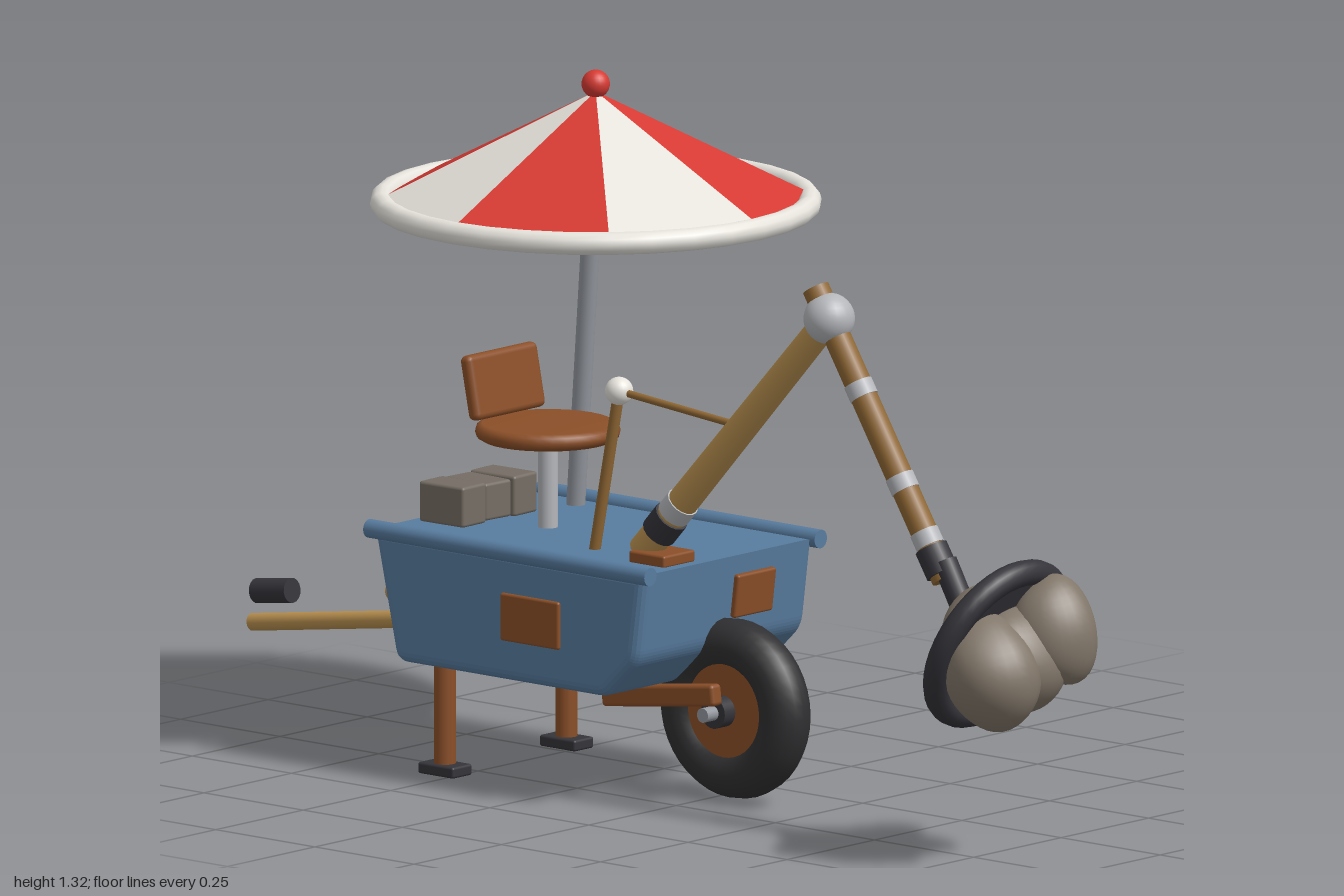
import * as THREE from 'three';
import { RoundedBoxGeometry } from 'three/addons/geometries/RoundedBoxGeometry.js';

const mat = (color, extra = {}) => new THREE.MeshStandardMaterial({ color, ...extra });
const M = {
  blue: mat(0x587c9f), brown: mat(0x8b4f28), dark: mat(0x34343a), tyre: mat(0x303032),
  wood: mat(0xba9150), stick: mat(0x8f6734), steel: mat(0x93979e), silver: mat(0xb4b6ba),
  rock: mat(0x82776a), block: mat(0x756d64), white: mat(0xe6e3dc), under: mat(0x6c6a68),
  red: mat(0xd63a33, { flatShading: true }), cloth: mat(0xe6e3dc, { flatShading: true }),
};
const V = (x, y, z) => new THREE.Vector3(x, y, z);
const UP = V(0, 1, 0);

export function createModel() {
  const model = new THREE.Group();

  const add = (name, geo, material, x = 0, y = 0, z = 0, rz = 0, parent = model) => {
    const m = new THREE.Mesh(geo, material);
    m.name = name;
    m.position.set(x, y, z);
    m.rotation.z = rz;
    parent.add(m);
    return m;
  };
  const box = (w, h, d, r = 0.005) => new RoundedBoxGeometry(w, h, d, 2, r);
  const ball = r => new THREE.SphereGeometry(r, 24, 16);
  // Round bar between two points
  const bar = (name, a, b, r, material, r2 = r) => {
    const m = add(name, new THREE.CylinderGeometry(r2, r, a.distanceTo(b), 16), material);
    m.position.copy(a).lerp(b, 0.5);
    m.quaternion.setFromUnitVectors(UP, b.clone().sub(a).normalize());
    return m;
  };
  // Sleeve around a bar, between fractions t0 and t1 of its length
  const sleeve = (name, a, b, t0, t1, r, material) =>
    bar(name, a.clone().lerp(b, t0), a.clone().lerp(b, t1), r, material);

  const midZ = 0.135;

  // Tub: side profile extruded across the width
  const side = new THREE.Shape();
  side.moveTo(-0.65, 0.47);
  side.lineTo(-0.6, 0.245);
  side.quadraticCurveTo(-0.595, 0.22, -0.57, 0.22);
  side.lineTo(-0.09, 0.22);
  side.quadraticCurveTo(-0.065, 0.22, -0.05, 0.235);
  side.lineTo(0.0, 0.283);
  side.quadraticCurveTo(0.015, 0.298, 0.018, 0.32);
  side.lineTo(0.037, 0.47);
  side.closePath();
  const bevel = 0.022;
  add('tub', new THREE.ExtrudeGeometry(side, {
    depth: 0.488 - 2 * bevel, bevelEnabled: true, bevelThickness: bevel, bevelSize: bevel,
    bevelOffset: -bevel, bevelSegments: 4, curveSegments: 6,
  }), M.blue, 0, 0, midZ + 0.005 - 0.244 + bevel);
  for (const z of [0.377, -0.11])
    bar('tubRim', V(-0.662, 0.468, z), V(0.047, 0.468, z), 0.018, M.blue);

  // Repair patches
  add('frontPatch', box(0.148, 0.092, 0.014), M.brown, -0.248, 0.345, 0.384);
  add('backPatch', box(0.1, 0.08, 0.014), M.brown, -0.49, 0.4, -0.107);
  add('endPatch', box(0.014, 0.085, 0.11), M.brown, 0.032, 0.39, 0.066, -0.126);

  // Legs, feet, handles and grips
  for (const s of [-1, 1]) {
    const legZ = 0.14 + s * 0.174, gripZ = 0.13 + s * 0.198;
    add('leg', new THREE.CylinderGeometry(0.021, 0.021, 0.24, 12), M.brown, -0.527, 0.13, legZ);
    add('foot', box(0.09, 0.022, 0.056), M.dark, -0.527, 0.013, legZ);
    bar('handle', V(-1, 0.235, gripZ), V(-0.56, 0.3, gripZ), 0.017, M.wood);
    bar('grip', V(-0.988, 0.297, gripZ), V(-0.9, 0.309, gripZ), 0.024, M.dark);
  }

  // Wheel and fork
  const wheel = new THREE.Group();
  wheel.name = 'wheel';
  wheel.position.set(0.052, 0.18, 0.139);
  model.add(wheel);
  add('tyre', new THREE.TorusGeometry(0.124, 0.049, 16, 40), M.tyre, 0, 0, 0, 0, wheel);
  for (const [name, r, len, m] of [['wheelDisc', 0.098, 0.07, M.brown], ['hub', 0.03, 0.13, M.dark],
    ['axle', 0.014, 0.19, M.steel]])
    add(name, new THREE.CylinderGeometry(r, r, len, 28).rotateX(Math.PI / 2), m, 0, 0, 0, 0, wheel);
  for (const z of [0.222, 0.057])
    add('forkArm', box(0.285, 0.042, 0.03, 0.008), M.brown, -0.062, 0.203, z, 0.13);

  // Counterweight blocks
  for (let i = 0; i < 3; i++) {
    const b = add('counterweight', box(0.11, 0.078 - (i % 2) * 0.006, 0.07, 0.006), M.block,
      -0.563, 0.513, 0.105 + i * 0.073);
    b.rotation.y = [0.04, -0.06, 0.03][i];
  }

  // Seat
  bar('seatPost', V(-0.412, 0.45, 0.15), V(-0.412, 0.645, 0.15), 0.019, M.silver);
  const seatEdge = [[0, -0.016], [0.125, -0.016], [0.135, -0.01], [0.138, 0], [0.135, 0.01], [0.125, 0.016], [0, 0.016]];
  add('seat', new THREE.LatheGeometry(seatEdge.map(p => new THREE.Vector2(...p)), 32), M.brown, -0.412, 0.656, 0.15);
  add('backrest', box(0.028, 0.125, 0.2, 0.012), M.brown, -0.528, 0.735, 0.147, 0.2);

  // Parasol: eight gores, rim, underside, finial and leaning pole
  const parasol = new THREE.Group();
  parasol.name = 'parasol';
  parasol.position.set(-0.435, 0, -0.013);
  model.add(parasol);
  for (let i = 0; i < 8; i++)
    add('gore', new THREE.ConeGeometry(0.415, 0.205, 1, 1, true, i * Math.PI / 4, Math.PI / 4),
      i % 2 ? M.cloth : M.red, 0, 1.18, 0, 0, parasol);
  add('parasolRim', new THREE.TorusGeometry(0.406, 0.022, 12, 32).rotateX(Math.PI / 2), M.white, 0, 1.07, 0, 0, parasol);
  add('parasolUnderside', new THREE.CircleGeometry(0.405, 32).rotateX(Math.PI / 2), M.under, 0, 1.066, 0, 0, parasol);
  add('finial', ball(0.027), M.red.clone(), 0, 1.297, 0, 0, parasol).material.flatShading = false;
  bar('parasolPole', V(-0.516, 0.46, -0.047), V(-0.445, 1.12, -0.02), 0.018, M.steel);

  // Control lever with link rod to the boom
  bar('lever', V(-0.207, 0.46, 0.25), V(-0.153, 0.78, 0.24), 0.011, M.stick);
  add('leverKnob', ball(0.027), M.white, -0.153, 0.78, 0.24);
  bar('linkRod', V(-0.153, 0.78, 0.24), V(0.165, 0.757, 0.255), 0.007, M.stick);

  // Boom from tub to elbow
  const armZ = 0.257;
  const boomA = V(-0.075, 0.485, armZ), elbow = V(0.392, 0.995, armZ);
  add('boomPad', box(0.09, 0.024, 0.09), M.brown, -0.03, 0.48, armZ);
  bar('boom', boomA, elbow, 0.031, M.wood, 0.027);
  sleeve('boomClamp', boomA, elbow, 0.08, 0.15, 0.035, M.dark);
  sleeve('boomBand', boomA, elbow, 0.16, 0.21, 0.033, M.silver);
  add('elbowJoint', ball(0.049), M.silver, elbow.x, elbow.y, armZ);

  // Stick from elbow to the digging pan
  const stickA = V(0.358, 1.049, armZ), stickB = V(0.685, 0.53, armZ);
  bar('stick', stickA, stickB, 0.026, M.stick);
  for (const t of [0.35, 0.67, 0.86])
    sleeve('stickBand', stickA, stickB, t - 0.025, t + 0.025, 0.028, M.silver);
  sleeve('stickClamp', stickA, stickB, 0.89, 0.98, 0.032, M.dark);
  bar('panShank', V(0.683, 0.565, armZ), V(0.76, 0.43, armZ), 0.024, M.dark);

  // Digging pan: a tilted round plate with a thick rim
  const pan = new THREE.Group();
  pan.name = 'diggingPan';
  pan.position.set(0.815, 0.424, armZ);
  pan.rotation.z = -0.423;
  model.add(pan);
  add('panRim', new THREE.TorusGeometry(0.158, 0.025, 14, 40).rotateY(Math.PI / 2), M.dark, 0, 0, 0, 0, pan);
  add('panPlate', new THREE.CylinderGeometry(0.158, 0.158, 0.03, 40).rotateZ(Math.PI / 2), M.dark, 0, 0, 0, 0, pan);

  // Rocks: spheres with a gentle wobble
  const rock = (x, y, z, rx, ry, rz, seed) => {
    const g = new THREE.SphereGeometry(1, 28, 20), p = g.attributes.position;
    for (let i = 0; i < p.count; i++) {
      const v = V(0, 0, 0).fromBufferAttribute(p, i);
      v.multiplyScalar(1 + 0.05 * Math.sin(3 * v.x + seed) * Math.cos(2.5 * v.y + seed * 2) + 0.04 * Math.sin(4 * v.z + seed));
      p.setXYZ(i, v.x * rx, v.y * ry, v.z * rz);
    }
    g.computeVertexNormals();
    add('rock', g, M.rock, x, y, z, 0.25);
  };
  rock(0.805, 0.42, 0.255, 0.086, 0.115, 0.11, 1);
  rock(0.87, 0.385, 0.335, 0.09, 0.108, 0.095, 2);
  rock(0.915, 0.455, 0.205, 0.08, 0.105, 0.08, 3);
  rock(0.875, 0.4, 0.265, 0.09, 0.105, 0.09, 4);

  return model;
}
